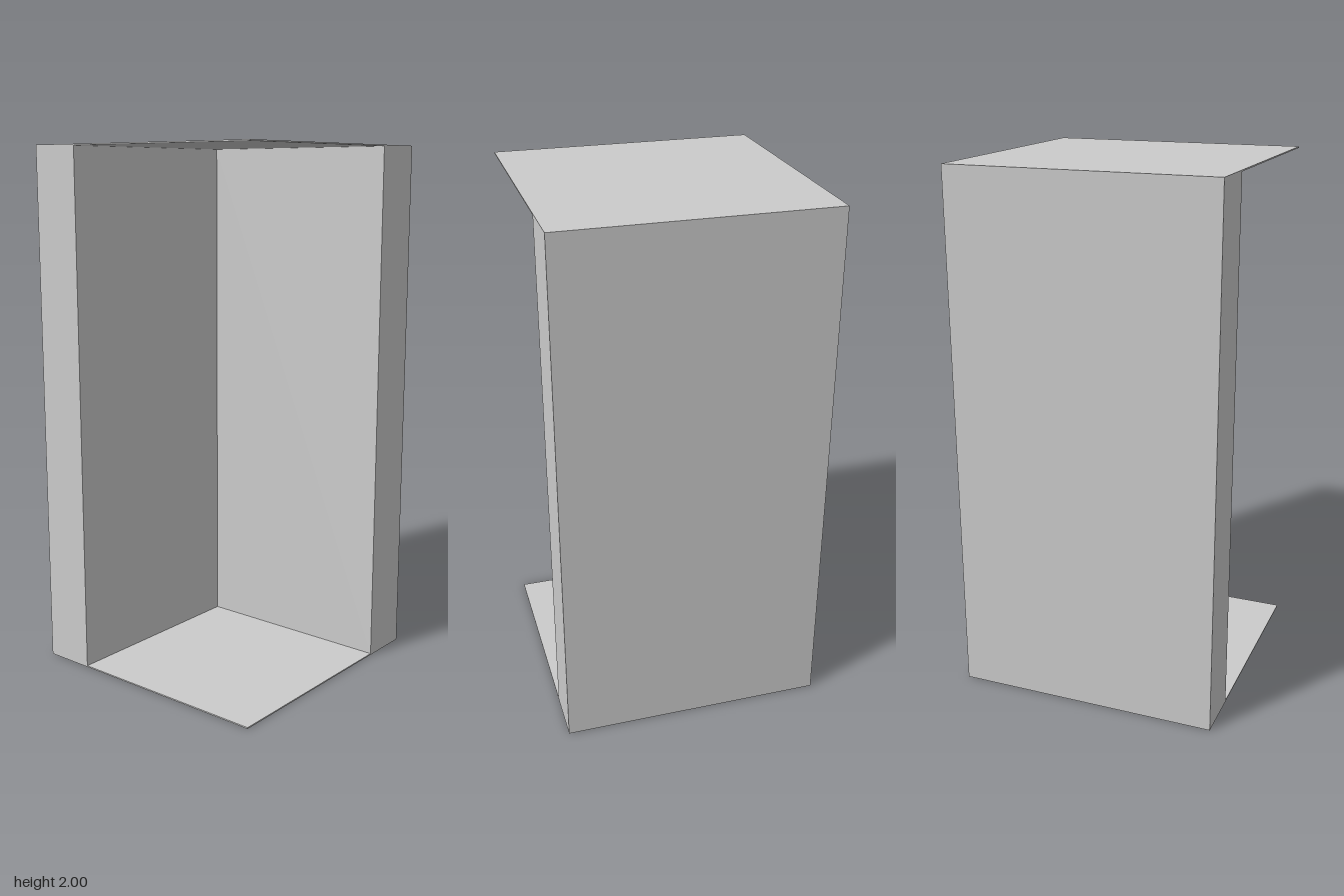
import * as THREE from 'three';

const SIZE = 1, HEIGHT = 2, WALL = 0.2, PLATE = 0.005;

export function createModel() {
  const group = new THREE.Group();
  const material = new THREE.MeshStandardMaterial({ color: 0xcccccc, flatShading: true });
  const h = SIZE / 2;

  const add = (name, geometry) => {
    const mesh = new THREE.Mesh(geometry, material);
    mesh.name = name;
    group.add(mesh);
    return mesh;
  };

  // L-shaped plan (x, -z): a back wall and a side wall at +x, extruded upwards
  const plan = new THREE.Shape([
    [-h, h], [-h, h - WALL], [h - WALL, h - WALL], [h - WALL, -h], [h, -h], [h, h],
  ].map(([x, y]) => new THREE.Vector2(x, y)));
  const walls = new THREE.ExtrudeGeometry(plan, { depth: HEIGHT - 2 * PLATE, bevelEnabled: false });
  walls.rotateX(-Math.PI / 2);
  add('cornerWalls', walls).position.y = PLATE;

  // Thin square plates closing the top and bottom
  for (const [name, y] of [['floorPlate', PLATE / 2], ['roofPlate', HEIGHT - PLATE / 2]]) {
    add(name, new THREE.BoxGeometry(SIZE, PLATE, SIZE)).position.y = y;
  }
  return group;
}
